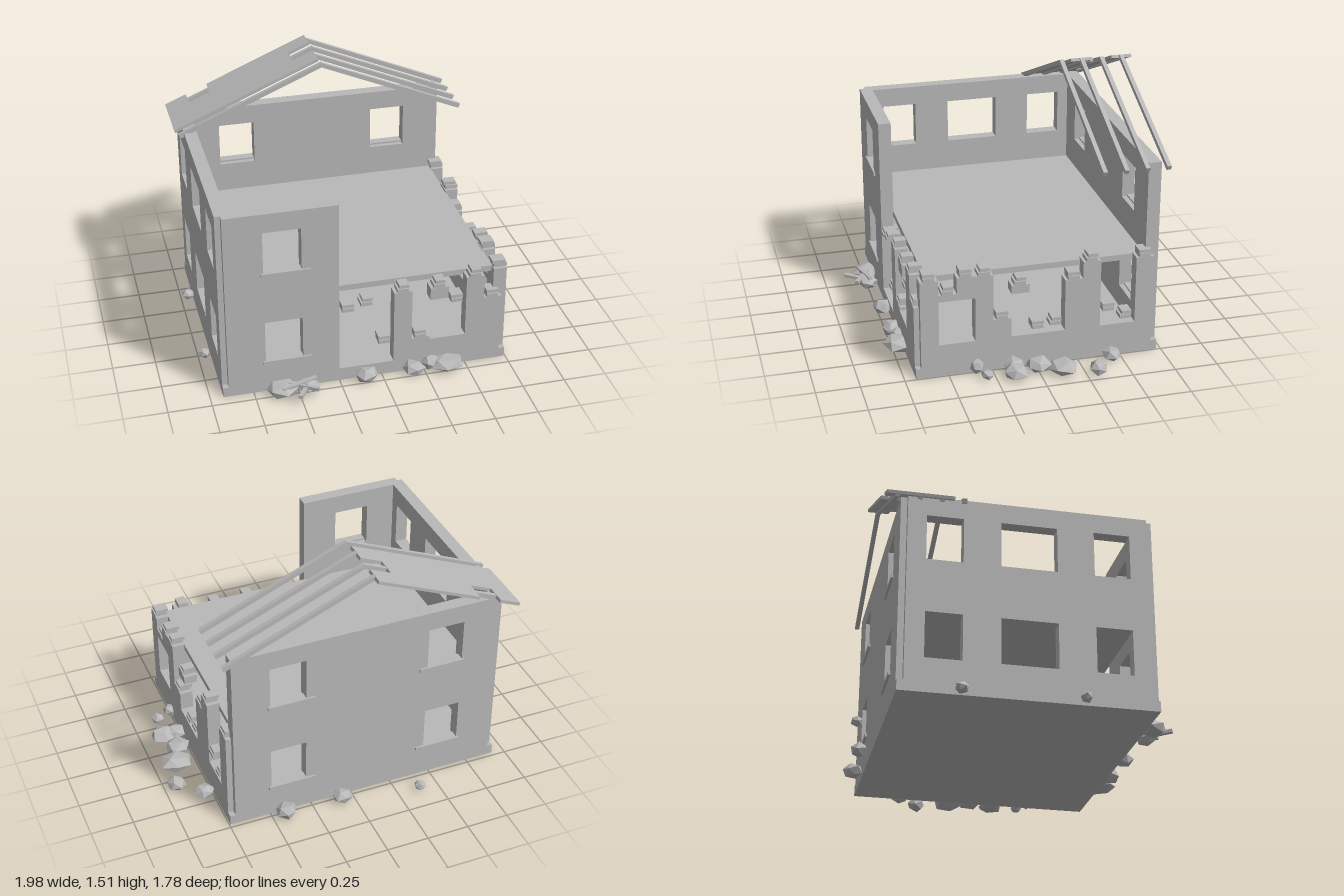
import * as THREE from 'three';

const stone = new THREE.MeshStandardMaterial({ color: 0xb8b8b8 });
stone.name = 'stone';
const rubbleStone = stone;

const WALL_T = 0.075, BASE = 0.06, TOP = 1.155;

function add(parent, name, geometry) {
  const mesh = new THREE.Mesh(geometry, stone);
  mesh.name = name;
  parent.add(mesh);
  return mesh;
}

// Box given by its minimum and maximum corners
function box(parent, name, x0, x1, y0, y1, z0, z1) {
  const g = new THREE.BoxGeometry(x1 - x0, y1 - y0, z1 - z0);
  g.translate((x0 + x1) / 2, (y0 + y1) / 2, (z0 + z1) / 2);
  return add(parent, name, g);
}

// Flat shape with rectangular holes [u0, u1, v0, v1]
function plate(u0, u1, v0, v1, holes, depth) {
  const rect = (T, a, b, c, d) =>
    new T([[a, c], [b, c], [b, d], [a, d]].map(p => new THREE.Vector2(...p)));
  const shape = rect(THREE.Shape, u0, u1, v0, v1);
  for (const h of holes) shape.holes.push(rect(THREE.Path, ...h));
  return new THREE.ExtrudeGeometry(shape, { depth, bevelEnabled: false });
}

// Both storeys of openings for horizontal spans
const LOWER = [0.2, 0.465], UPPER = [0.775, 1.04];
const windows = spans => spans.flatMap(s => [[...s, ...LOWER], [...s, ...UPPER]]);

// Ruined wall made of broken columns, each with a loose two-layer brick
function brokenWall(parent, name, cols, start, step, place) {
  const wall = new THREE.Group();
  wall.name = name;
  cols.forEach(([top, brickY, kind], i) => {
    const a = start + i * step, b = a + step;
    const put = (part, u0, u1, y0, y1, out = 0) => place(wall, part, u0, u1, y0, y1, out);
    if (kind === 'window') {
      put('sillWall', a, b, BASE, LOWER[0]);
      if (top > LOWER[1]) put('lintel', a, b, LOWER[1], top);
    } else put('brokenColumn', a, b, BASE, top);
    const mid = (a + b) / 2, shift = i % 2 ? 0.006 : -0.006;
    put('looseBrick', mid - 0.036, mid + 0.03, brickY, brickY + 0.022, 0.004);
    put('looseBrick', mid - 0.03 + shift, mid + 0.034, brickY + 0.022, brickY + 0.042, -0.004);
  });
  parent.add(wall);
}

// Irregular faceted rock
function rock(parent, x, z, r, seed, h = 0.045) {
  const g = new THREE.IcosahedronGeometry(1, 0);
  const p = g.attributes.position, v = new THREE.Vector3();
  for (let i = 0; i < p.count; i++) {
    v.fromBufferAttribute(p, i);
    const n = Math.sin(Math.round(v.x * 10) * 12.9 + Math.round(v.y * 10) * 78.2 +
      Math.round(v.z * 10) * 37.7 + seed * 5.3) * 43.7;
    v.multiplyScalar(0.85 + 0.25 * (n - Math.floor(n)));
    p.setXYZ(i, v.x, v.y, v.z);
  }
  g.rotateX(0.55);
  g.rotateY(seed * 1.7);
  g.scale(r, h, r * 0.9);
  g.computeBoundingBox();
  g.translate(x, 0.006 - g.boundingBox.min.y, z);
  g.computeVertexNormals();
  add(parent, 'rock', g).material = rubbleStone;
}

export function createModel() {
  const house = new THREE.Group();
  house.name = 'ruinedHouse';

  // Foundation and upper floor
  box(house, 'foundation', -0.925, 0.743, 0.005, 0.065, -0.725, 0.685);
  box(house, 'upperFloor', -0.855, 0.67, 0.56, 0.595, -0.655, 0.612);

  // Intact walls
  const leftSpan = [-0.675, -0.46], rightSpan = [0.278, 0.49];
  add(house, 'backWall', plate(-0.893, 0.71, BASE, TOP, windows([leftSpan, rightSpan]), WALL_T))
    .position.z = -0.725;
  add(house, 'frontWall', plate(-0.893, -0.25, BASE, TOP, windows([leftSpan]), WALL_T))
    .position.z = 0.61;
  const sideSpans = [[0.344, 0.547], [-0.175, 0.137], [-0.585, -0.382]];
  const leftGeo = plate(-0.69, 0.65, BASE, TOP, windows(sideSpans), WALL_T);
  leftGeo.rotateY(-Math.PI / 2);
  add(house, 'leftWall', leftGeo).position.x = -0.85;

  // Window sills
  for (const y of [0.19, 0.765]) {
    box(house, 'frontSill', -0.69, -0.41, y, y + 0.02, 0.64, 0.695);
    box(house, 'backSill', -0.69, -0.41, y, y + 0.02, -0.737, -0.68);
    box(house, 'backSill', 0.225, 0.505, y, y + 0.02, -0.737, -0.68);
  }

  // Ruined front wall: column top, brick height, kind
  const W = 'window';
  brokenWall(house, 'brokenFrontWall', [
    [0.085, 0.463], [0.085, 0.488], [0.085, 0.217], [0.54, 0.543], [0.22, 0.222],
    [0.54, 0.543, W], [0.2, 0.432, W], [0.58, 0.582], [0.43, 0.432],
  ], -0.25, 0.1065, (g, n, u0, u1, y0, y1, out) =>
    box(g, n, u0, u1, y0, y1, 0.61 + out, 0.685 + out));

  // Ruined right wall, running from front to back
  brokenWall(house, 'brokenRightWall', [
    [0.595, 0.597], [0.505, 0.507, W], [0.6, 0.602, W], [0.595, 0.597], [0.315, 0.317],
    [0.515, 0.517, W], [0.2, 0.232, W], [0.2, 0.242, W], [0.51, 0.512], [0.61, 0.612],
    [0.2, 0.29, W], [0.2, 0.23, W], [0.6, 0.602],
  ], -0.655, 0.1035, (g, n, u0, u1, y0, y1, out) =>
    box(g, n, 0.665 + out, 0.743 + out, y0, y1, -u1, -u0));

  // Roof rafters, one sloping pair per frame
  const ridgeX = -0.094, ridgeY = 1.515, run = 0.864, drop = 0.365, thick = 0.025;
  const rafterShape = new THREE.Shape([
    [-run, -drop], [-run + 0.012, -drop - thick], [0, -thick - 0.003],
    [run - 0.012, -drop - thick], [run, -drop], [0, 0],
  ].map(p => new THREE.Vector2(...p)));
  for (const z of [-0.382, -0.505, -0.626, -0.748]) {
    const g = new THREE.ExtrudeGeometry(rafterShape, { depth: 0.025, bevelEnabled: false });
    add(house, 'rafter', g).position.set(ridgeX, ridgeY, z - 0.0125);
  }

  // Surviving roof panel with two missing tiles; u runs down the slope, v runs forward
  const slope = Math.atan2(drop, run), c = Math.cos(slope);
  const panel = new THREE.Shape([
    [0, -0.81], [0.615, -0.81], [0.615, -0.69], [0.745, -0.69], [0.745, -0.81],
    [0.873, -0.81], [0.873, -0.44], [0, -0.44], [0, -0.568], [0.125, -0.568],
    [0.125, -0.688], [0, -0.688],
  ].map(([u, v]) => new THREE.Vector2(-u / c, -v)));
  const panelGeo = new THREE.ExtrudeGeometry(panel, { depth: 0.018, bevelEnabled: false });
  panelGeo.rotateX(-Math.PI / 2);
  panelGeo.rotateZ(slope);
  add(house, 'roofPanel', panelGeo).position.set(ridgeX, ridgeY - 0.017, 0);

  // Rubble around the base: x, z, radius
  const rubble = new THREE.Group();
  rubble.name = 'rubble';
  [
    [0.8, -0.44, 0.065], [0.93, -0.32, 0.06], [0.87, -0.13, 0.105], [0.82, 0, 0.085],
    [0.86, 0.14, 0.085], [0.79, 0.13, 0.075], [0.845, 0.3, 0.042], [0.755, 0.34, 0.05],
    [-0.1, 0.72, 0.07], [0.18, 0.72, 0.07], [0.38, 0.715, 0.11], [0.29, 0.7, 0.06],
    [-0.59, 0.74, 0.095], [-0.44, 0.75, 0.065], [-0.965, 0.27, 0.038], [-0.955, -0.39, 0.045],
    [-0.39, -0.855, 0.04], [0.08, -0.785, 0.065], [0.42, -0.775, 0.065],
  ].forEach(([x, z, r], i) => rock(rubble, x, z, r, i + 1, r < 0.05 ? 0.032 : 0.046));
  house.add(rubble);

  // Fallen sticks
  [[-0.47, 0.79, 1.05], [-0.49, 0.77, -0.55], [-0.5, 0.76, 0.2]].forEach(([x, z, a], i) => {
    const stick = add(house, 'fallenStick', new THREE.BoxGeometry(0.21, 0.02, 0.025));
    stick.position.set(x, 0.06 + i * 0.008, z);
    stick.rotation.set(0, a, i * 0.1 - 0.1);
  });

  return house;
}
